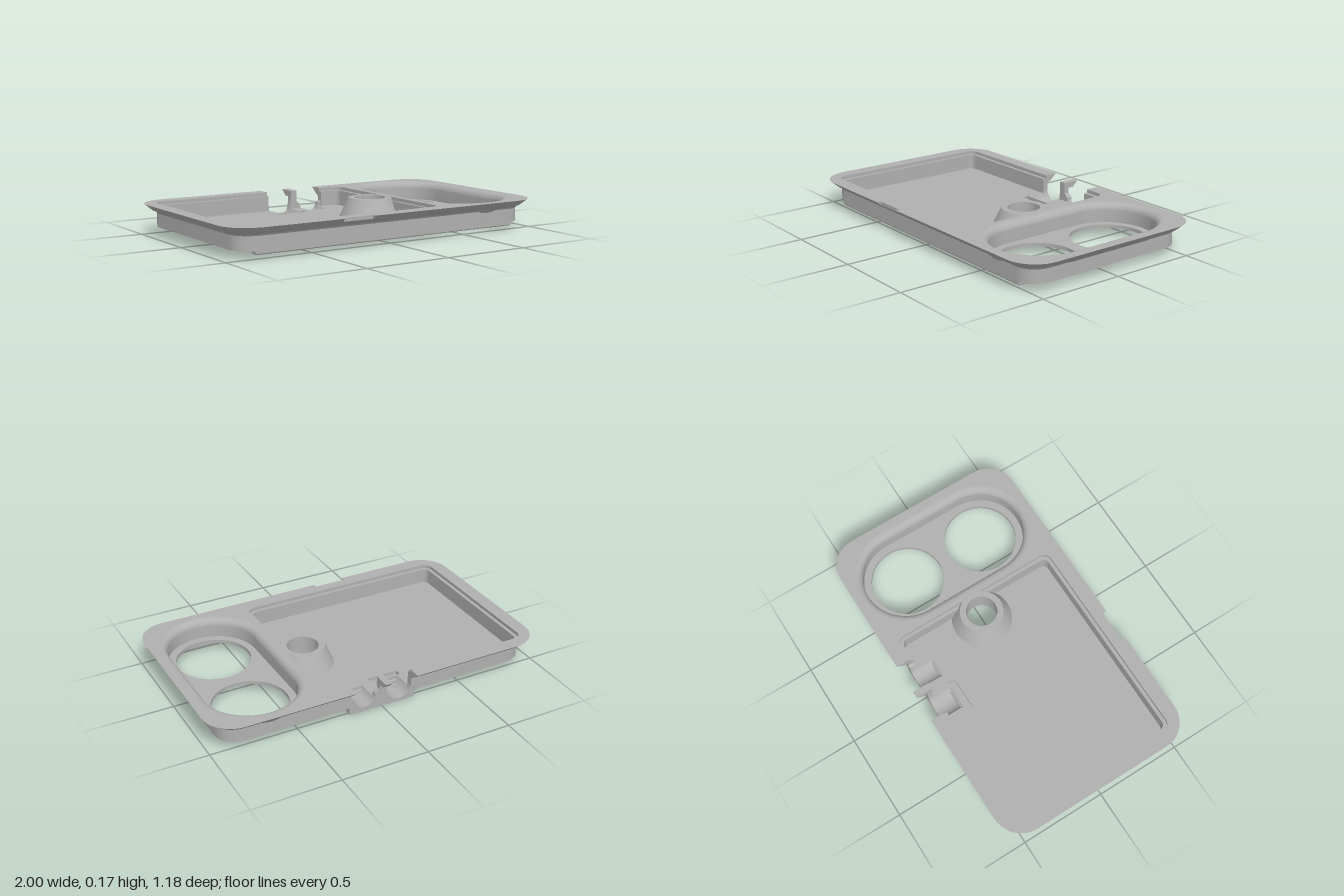
import * as THREE from 'three';
import { toCreasedNormals } from 'three/addons/utils/BufferGeometryUtils.js';
import { RoundedBoxGeometry } from 'three/addons/geometries/RoundedBoxGeometry.js';

const FLOOR = 0.065, BASE = 0.045, TOP = 0.175;
const GAP = [-0.18, 0.19];            // opening in the back wall
const CUP_X = 0.655, CUP_Z = 0.25;

// Rounded rectangle as [x, z] points, starting at the back +x corner
function rounded(x0, x1, z0, z1, r, n = 10) {
  const pts = [];
  const corners = [[x1 - r, z0 + r], [x1 - r, z1 - r], [x0 + r, z1 - r], [x0 + r, z0 + r]];
  corners.forEach(([cx, cz], k) => {
    for (let i = 0; i <= n; i++) {
      const a = (k - 1 + i / n) * Math.PI / 2;
      pts.push([cx + r * Math.cos(a), cz + r * Math.sin(a)]);
    }
  });
  return pts;
}

const stadium = r => rounded(CUP_X - r, CUP_X + r, -CUP_Z - r, CUP_Z + r, r, 24);
const circle = (x, z, r) => rounded(x - r, x + r, z - r, z + r, r, 16);

// Closed C-shaped wall contour: outside, gap edge, then back along the inside
function wallContour(hx, hz, r, inner) {
  const outer = rounded(-hx, hx, -hz, hz, r);
  const notchZ = Math.min(hz, 0.565);
  outer.splice(22, 0, [-0.16, hz], [-0.16, notchZ], [-0.35, notchZ], [-0.35, hz]);
  const back = inner[inner.length - 1][1];
  return [[GAP[1], -hz], ...outer, [GAP[0], -hz], [GAP[0], back],
    ...inner.slice().reverse(), [GAP[1], back]];
}

// Skin through matching closed contours, listed from low to high
function skin(rings) {
  const pos = [];
  for (let k = 0; k + 1 < rings.length; k++) {
    const [y0, a] = rings[k], [y1, b] = rings[k + 1];
    for (let i = 0; i < a.length; i++) {
      const j = (i + 1) % a.length;
      const p = [a[i][0], y0, a[i][1]], q = [a[j][0], y0, a[j][1]];
      const u = [b[i][0], y1, b[i][1]], v = [b[j][0], y1, b[j][1]];
      pos.push(...p, ...u, ...q, ...q, ...u, ...v);
    }
  }
  const g = new THREE.BufferGeometry();
  g.setAttribute('position', new THREE.Float32BufferAttribute(pos, 3));
  return toCreasedNormals(g, 0.5);
}

// Flat plan shape with holes, ready to lay down on the xz plane
function plan(points, holes = []) {
  const vec = list => list.map(([x, z]) => new THREE.Vector2(x, -z));
  const s = new THREE.Shape(vec(points));
  holes.forEach(h => s.holes.push(new THREE.Path(vec(h))));
  return s;
}

// Cross-section of the cradle with two round channels, cut off at height top
function cradleProfile(top) {
  const cy = 0.09, pts = [[-0.2, 0.006], [-0.194, 0], [0.194, 0], [0.2, 0.006], [0.2, top]];
  const high = top > cy;
  const channel = (cx, r) => {
    const a = high ? 0 : Math.asin((cy - top) / r);
    for (let i = 0; i <= 20; i++) {
      const t = -a - (Math.PI - 2 * a) * i / 20;
      pts.push([cx + r * Math.cos(t), cy + r * Math.sin(t)]);
    }
  };
  if (high) pts.push([0.19, top], [0.19, 0.1]);
  channel(0.105, 0.065);
  if (high) pts.push([0.015, 0.11], [0.015, top], [-0.025, top], [-0.025, 0.11]);
  channel(-0.105, 0.075);
  if (high) pts.push([-0.18, top]);
  pts.push([-0.2, top]);
  return new THREE.Shape(pts.map(p => new THREE.Vector2(...p)));
}

export function createModel() {
  const group = new THREE.Group();
  const grey = new THREE.MeshStandardMaterial({ color: 0xb0b0b0, side: THREE.DoubleSide });
  grey.name = 'grey plastic';
  const add = (name, geometry, x = 0, y = 0, z = 0) => {
    const m = new THREE.Mesh(geometry, grey);
    m.name = name;
    m.position.set(x, y, z);
    group.add(m);
    return m;
  };

  // Floor plate with cup holes, cone hole, slot and the cradle notch
  const body = rounded(-0.935, 0.935, -0.525, 0.525, 0.12);
  const floorOutline = [[0.2, -0.525], ...body, [-0.2, -0.525], [-0.2, -0.385], [0.2, -0.385]];
  const floor = new THREE.ExtrudeGeometry(plan(floorOutline, [
    circle(CUP_X, -CUP_Z, 0.212), circle(CUP_X, CUP_Z, 0.212), circle(0.22, -0.01, 0.09),
    [[-0.195, -0.38], [-0.01, -0.38], [-0.01, -0.34], [-0.195, -0.34]],
  ]), { depth: FLOOR - BASE, bevelEnabled: false });
  add('floor', toCreasedNormals(floor.rotateX(-Math.PI / 2), 0.5), 0, BASE);

  // Walls, flared rim and inner ledge in one skin
  const low = rounded(-0.9, 0.31, -0.49, 0.485, 0.035);
  const high = rounded(-0.92, 0.33, -0.51, 0.505, 0.05);
  const rim = wallContour(1, 0.59, 0.17, high);
  add('walls', skin([
    [FLOOR, wallContour(0.935, 0.525, 0.12, low)],
    [0.122, wallContour(0.935, 0.525, 0.12, low)],
    [0.132, wallContour(0.942, 0.532, 0.125, low)],
    [0.14, wallContour(0.96, 0.55, 0.14, low)],
    [0.155, wallContour(0.977, 0.567, 0.15, low)],
    [0.155, wallContour(0.977, 0.567, 0.15, high)],
    [TOP, rim],
  ]));
  const rimTop = new THREE.ShapeGeometry(plan(rim, [stadium(0.295)]));
  add('rimTop', rimTop.rotateX(-Math.PI / 2), 0, TOP);

  // Cup recess with a rounded lip, and its bulge under the rim
  const recess = [[FLOOR, stadium(0.255).reverse()]];
  for (let i = 0; i <= 8; i++) {
    const a = i / 8 * Math.PI / 2;
    recess.push([0.135 + 0.04 * Math.sin(a), stadium(0.295 - 0.04 * Math.cos(a)).reverse()]);
  }
  add('cupRecess', skin(recess));
  add('cupBulge', skin([[0.112, stadium(0.275)], [0.125, stadium(0.284)], [0.142, stadium(0.303)]]));

  // Hollow cone beside the dividing wall
  const cone = [[0.09, BASE], [0.09, 0.174], [0.125, 0.174], [0.175, FLOOR]]
    .reverse().map(p => new THREE.Vector2(...p));
  add('hollowCone', toCreasedNormals(new THREE.LatheGeometry(cone, 64), 0.5), 0.22, 0, -0.01);

  // Cradle: back wall part and open troughs
  for (const [name, top, z0, z1] of [
    ['cradleWall', 0.155, -0.523, -0.491],
    ['cradleTroughs', FLOOR, -0.491, -0.385],
  ]) {
    const g = new THREE.ExtrudeGeometry(cradleProfile(top), { depth: z1 - z0, bevelEnabled: false });
    add(name, toCreasedNormals(g, 0.5), 0, 0, z0);
  }
  add('cradlePad', new RoundedBoxGeometry(0.4, 0.046, 0.075, 3, 0.006), 0, 0.023, -0.3575);

  // Hooked tab between the two channels
  const hook = new THREE.Shape([[0.49, 0.14], [0.49, TOP], [0.59, TOP], [0.555, 0.14]]
    .map(p => new THREE.Vector2(...p)));
  const tab = new THREE.ExtrudeGeometry(hook, { depth: 0.04, bevelEnabled: false });
  add('hookTab', tab.rotateY(Math.PI / 2), -0.025);

  // Support rail under the front edge
  add('frontRail', new RoundedBoxGeometry(1.68, 0.03, 0.055, 3, 0.008), 0, 0.039, 0.494);
  return group;
}
